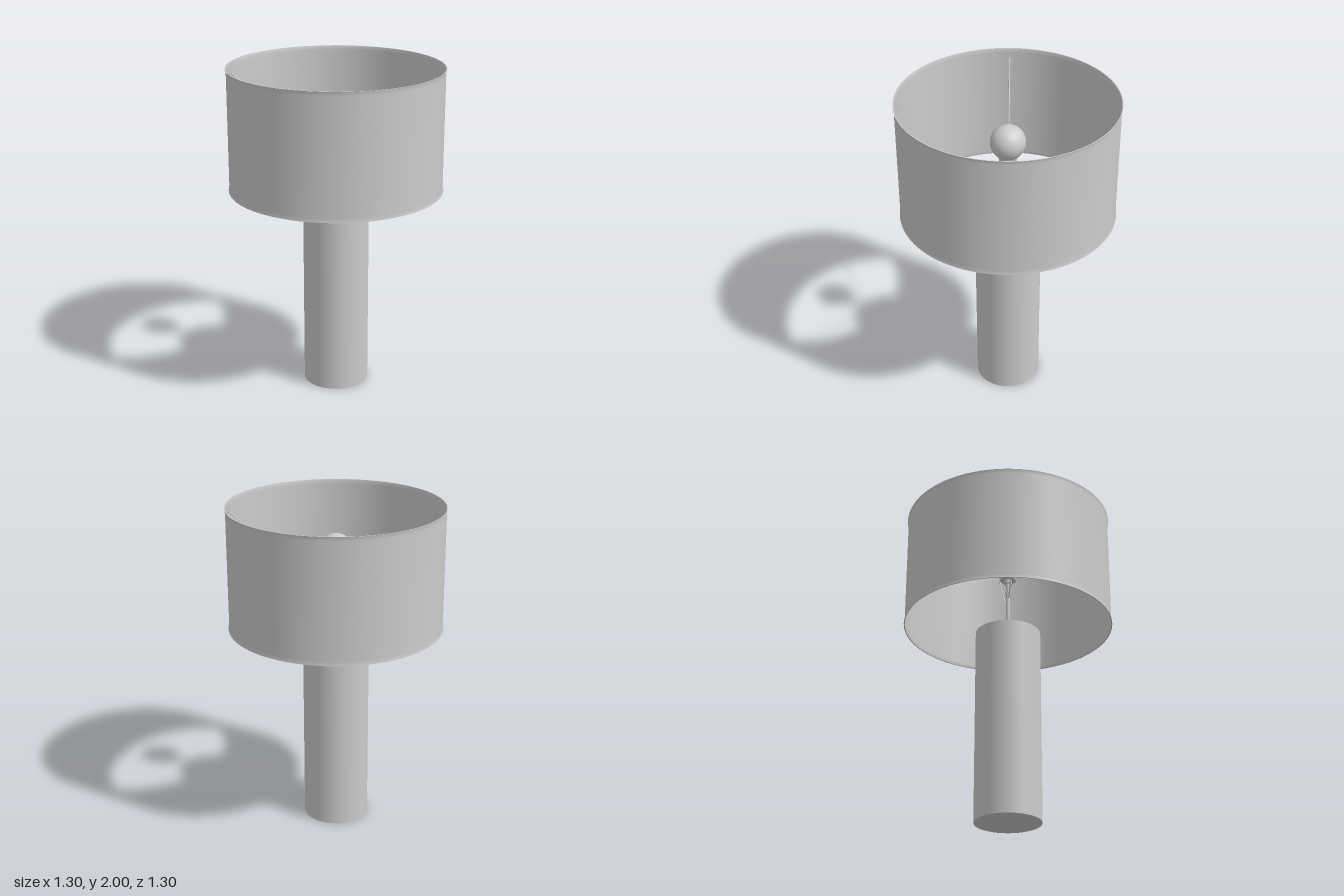
import * as THREE from 'three';

const material = new THREE.MeshStandardMaterial({ color: 0xcccccc });
const thinMaterial = new THREE.MeshStandardMaterial({ color: 0xcccccc, side: THREE.DoubleSide });

function addMesh(parent, name, geometry, mat = material) {
  const mesh = new THREE.Mesh(geometry, mat);
  mesh.name = name;
  parent.add(mesh);
  return mesh;
}

// Upright cylinder between two heights
function addCylinder(parent, name, bottom, top, rBottom, rTop = rBottom, sides = 32) {
  const geometry = new THREE.CylinderGeometry(rTop, rBottom, top - bottom, sides);
  addMesh(parent, name, geometry).position.y = (bottom + top) / 2;
}

function lathe(points, sides) {
  return new THREE.LatheGeometry(points.map(([r, y]) => new THREE.Vector2(r, y)), sides);
}

export function createModel() {
  const lamp = new THREE.Group();
  lamp.name = 'tableLamp';

  // Plain column with a thin plate on top
  addCylinder(lamp, 'column', 0, 1.215, 0.2, 0.2, 64);
  addCylinder(lamp, 'columnTopPlate', 1.21, 1.22, 0.15, 0.15, 48);

  // Stem, collar and bulb socket
  addCylinder(lamp, 'collar', 1.22, 1.236, 0.057);
  addCylinder(lamp, 'stem', 1.22, 1.59, 0.012, 0.012, 16);
  addCylinder(lamp, 'socketNeck', 1.57, 1.6, 0.024);
  addCylinder(lamp, 'socketCup', 1.595, 1.645, 0.05, 0.06);

  // Globe bulb
  addMesh(lamp, 'bulb', new THREE.SphereGeometry(0.105, 40, 28)).position.y = 1.726;

  // Drum shade: thin wall, slightly flared at both rims
  const shade = new THREE.Group();
  shade.name = 'shade';
  lamp.add(shade);
  const outer = [[0.647, 1.26], [0.642, 1.285], [0.642, 1.975], [0.648, 2]];
  const wall = 0.006;
  const inner = outer.map(([r, y]) => [r - wall, y]).reverse();
  addMesh(shade, 'shadeOuterWall', lathe(outer, 96), thinMaterial);
  addMesh(shade, 'shadeInnerWall', lathe(inner, 96), thinMaterial);
  for (const [name, [r, y]] of [['shadeBottomRim', outer[0]], ['shadeTopRim', outer[3]]]) {
    addMesh(shade, name, lathe([[r - wall, y], [r, y]], 96), thinMaterial);
  }

  // Bent wire arms that carry the shade, hooked near its top
  const armPoints = [
    [0, 1.5], [0.02, 1.475], [0.05, 1.45], [0.09, 1.465], [0.185, 1.54],
    [0.31, 1.64], [0.46, 1.78], [0.6, 1.925], [0.625, 1.944], [0.638, 1.935], [0.638, 1.91],
  ];
  for (const side of [1, -1]) {
    const path = new THREE.CatmullRomCurve3(
      armPoints.map(([x, y]) => new THREE.Vector3(side * x, y, 0)));
    addMesh(lamp, side > 0 ? 'leftShadeArm' : 'rightShadeArm',
      new THREE.TubeGeometry(path, 72, 0.004, 8));
  }
  addCylinder(lamp, 'armClamp', 1.485, 1.515, 0.016, 0.016, 16);

  return lamp;
}
